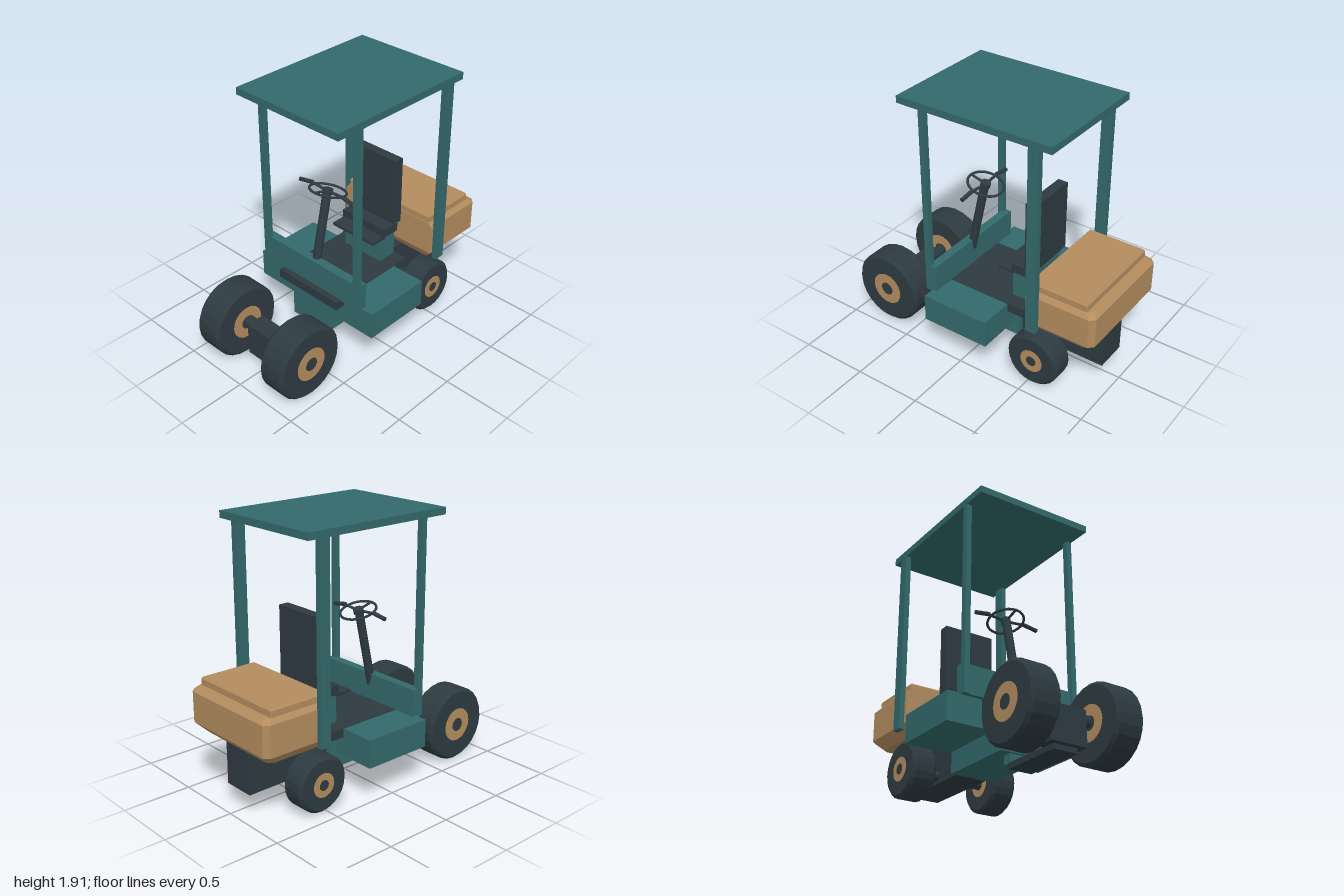
import * as THREE from 'three';

const mat = (name, color, flat = true) => {
  const m = new THREE.MeshStandardMaterial({ color, flatShading: flat });
  m.name = name;
  return m;
};

export function createModel() {
  const teal = mat('teal paint', 0x33696b);
  const dark = mat('dark rubber', 0x2d3a41);
  const tan = mat('tan paint', 0xb38c5e);
  const model = new THREE.Group();
  model.name = 'utilityVehicle';

  const add = (name, geo, material, parent = model) => {
    const mesh = new THREE.Mesh(geo, material);
    mesh.name = name;
    parent.add(mesh);
    return mesh;
  };

  // box given by its min and max on each axis
  const box = (name, material, x0, x1, y0, y1, z0, z1) => {
    const b = add(name, new THREE.BoxGeometry(x1 - x0, y1 - y0, z1 - z0), material);
    b.position.set((x0 + x1) / 2, (y0 + y1) / 2, (z0 + z1) / 2);
    return b;
  };

  // cylinder between two points
  const rod = (name, material, a, b, r, sides = 12) => {
    const p = new THREE.Vector3(...a), q = new THREE.Vector3(...b);
    const m = add(name, new THREE.CylinderGeometry(r, r, p.distanceTo(q), sides), material);
    m.position.copy(p).add(q).multiplyScalar(0.5);
    m.quaternion.setFromUnitVectors(new THREE.Vector3(0, 1, 0), q.sub(p).normalize());
    return m;
  };

  // stacked sections: [y, half width, front z, rear z], rear corners cut by c
  const stacked = (levels, c) => {
    const loops = levels.map(([y, w, f, r]) => [
      [w, y, f], [w, y, r + c], [w - c, y, r],
      [-w + c, y, r], [-w, y, r + c], [-w, y, f],
    ]);
    const out = [], tri = (...p) => p.forEach((v) => out.push(...v));
    const n = 6;
    for (let k = 0; k < loops.length - 1; k++) {
      const lo = loops[k], hi = loops[k + 1];
      for (let i = 0; i < n; i++) {
        const j = (i + 1) % n;
        tri(lo[i], lo[j], hi[j]);
        tri(lo[i], hi[j], hi[i]);
      }
    }
    const bottom = loops[0], top = loops[loops.length - 1];
    for (let i = 1; i < n - 1; i++) {
      tri(top[0], top[i], top[i + 1]);
      tri(bottom[0], bottom[i + 1], bottom[i]);
    }
    const g = new THREE.BufferGeometry();
    g.setAttribute('position', new THREE.Float32BufferAttribute(out, 3));
    g.computeVertexNormals();
    return g;
  };

  // canopy and posts
  box('roof', teal, -0.45, 0.45, 1.86, 1.91, -0.68, 0.5);
  for (const s of [-1, 1]) {
    const side = (name, m, a, b, ...rest) => box(name, m, Math.min(s * a, s * b), Math.max(s * a, s * b), ...rest);
    side('frontPost', teal, 0.41, 0.45, 0.47, 1.86, 0.28, 0.325);
    side('rearPost', teal, 0.41, 0.45, 0.49, 1.86, -0.59, -0.51);
    side('sideBox', teal, 0.2, 0.54, 0.28, 0.482, -0.25, 0.27);
  }

  // chassis
  box('frontPanel', teal, -0.449, 0.449, 0.475, 0.68, 0.235, 0.3);
  box('floorPlate', dark, -0.28, 0.28, 0.42, 0.486, -0.38, 0.345);
  box('lowerBody', teal, -0.17, 0.17, 0.147, 0.43, -0.27, 0.318);
  box('rearChassis', dark, -0.12, 0.12, 0.155, 0.475, -0.925, -0.26);
  box('plateBracket', teal, -0.09, 0.09, 0.08, 0.15, 0.235, 0.3);
  box('drawPlate', dark, -0.09, 0.09, 0.045, 0.085, 0.28, 0.75);
  box('frontGearbox', dark, -0.135, 0.135, 0.08, 0.325, 0.65, 0.79);
  rod('frontAxle', dark, [-0.3, 0.28, 0.72], [0.3, 0.28, 0.72], 0.043);
  rod('rearAxle', dark, [-0.3, 0.21, -0.54], [0.3, 0.21, -0.54], 0.035);

  // wheels with thin hub discs on both faces
  const wheel = (name, x, y, z, r, width, hubR, boreR) => {
    const h = width / 2, c = 0.022;
    const g = new THREE.Group();
    g.name = name;
    const profile = [[0, -h], [r - c, -h], [r, -h + c], [r, h - c], [r - c, h], [0, h]]
      .map((p) => new THREE.Vector2(...p));
    add('tyre', new THREE.LatheGeometry(profile, 24), dark, g);
    for (const s of [-1, 1]) {
      add('hub', new THREE.CylinderGeometry(hubR, hubR, 0.006, 24), tan, g).position.y = s * h;
      add('hubCap', new THREE.CylinderGeometry(boreR, boreR, 0.009, 16), dark, g).position.y = s * h;
    }
    g.rotation.z = Math.PI / 2;
    g.position.set(x, y, z);
    model.add(g);
  };
  for (const s of [-1, 1]) {
    wheel('frontWheel', s * 0.315, 0.273, 0.73, 0.272, 0.214, 0.123, 0.05);
    wheel('rearWheel', s * 0.323, 0.21, -0.54, 0.2, 0.18, 0.086, 0.038);
  }

  // seat
  box('seatBase', teal, -0.17, 0.17, 0.48, 0.7, -0.37, -0.22);
  box('seatCushion', dark, -0.2, 0.2, 0.7, 0.765, -0.365, -0.225);
  box('seatLip', dark, -0.195, 0.195, 0.683, 0.705, -0.24, -0.115);
  box('backrest', dark, -0.195, 0.195, 0.76, 1.275, -0.405, -0.33);

  // steering
  rod('steeringColumn', dark, [0, 0.6, 0.262], [0, 1.165, 0.14], 0.031, 14);
  const rim = add('steeringWheel', new THREE.TorusGeometry(0.128, 0.009, 8, 28), dark);
  rim.position.set(0, 1.17, 0.133);
  rim.rotation.x = -Math.PI / 2 - 0.28;
  rod('steeringHub', dark, [0, 1.15, 0.14], [0, 1.185, 0.13], 0.036);
  rod('steeringSpoke', dark, [0, 1.17, 0.13], [0, 1.205, 0.255], 0.009, 8);
  for (const s of [-1, 1]) {
    rod('steeringArm', dark, [0, 1.168, 0.135], [s * 0.15, 1.18, 0.14], 0.01, 8);
    rod('steeringGrip', dark, [s * 0.14, 1.182, 0.14], [s * 0.255, 1.162, 0.145], 0.015, 10);
  }

  // rear cargo housing and lid
  add('rearHousing', stacked([
    [0.463, 0.35, -0.53, -0.93],
    [0.535, 0.413, -0.485, -1.0],
    [0.755, 0.413, -0.485, -1.0],
    [0.785, 0.385, -0.485, -0.965],
  ], 0.035), tan);
  add('housingLid', stacked([
    [0.78, 0.38, -0.49, -0.93],
    [0.828, 0.38, -0.49, -0.93],
    [0.84, 0.37, -0.5, -0.92],
  ], 0.006), tan);

  return model;
}
